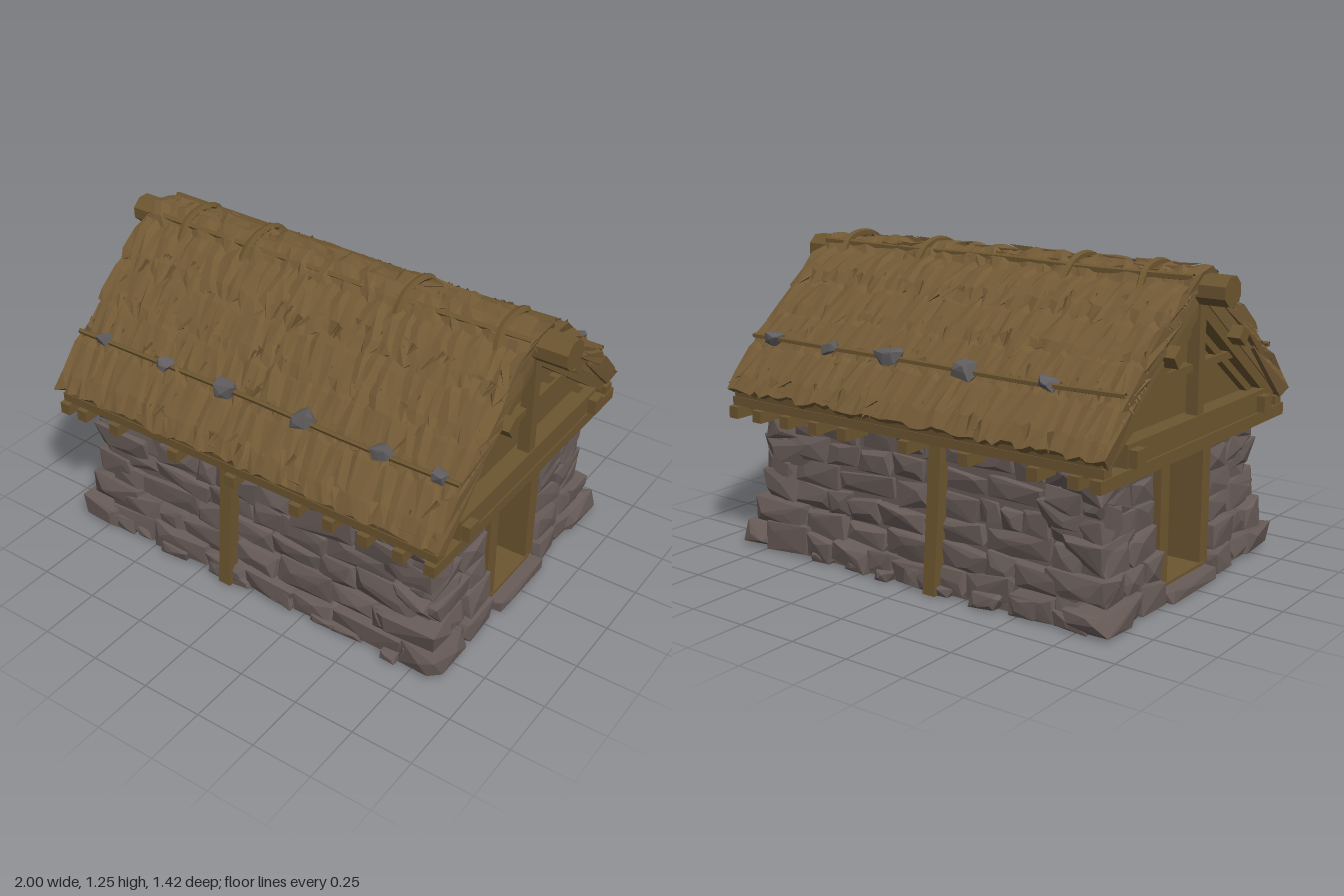
import * as THREE from 'three';
import { mergeGeometries } from 'three/addons/utils/BufferGeometryUtils.js';
import { ConvexGeometry } from 'three/addons/geometries/ConvexGeometry.js';

export function createModel() {
  const group = new THREE.Group();
  const CX = -0.01; // middle of the building along its length
  const mat = (name, color, side = THREE.FrontSide) => {
    const m = new THREE.MeshStandardMaterial({ color, side });
    m.name = name;
    return m;
  };
  const thatch = mat('thatch', 0x735a36, THREE.DoubleSide);
  const wood = mat('wood', 0x6d5630, THREE.DoubleSide);
  const stone = mat('wall stone', 0x685c58);
  const rock = mat('weight stone', 0x625e5f);

  // Seeded random numbers
  let seed = 7;
  const rnd = (a = 0, b = 1) => {
    seed = (seed * 16807) % 2147483647;
    return a + (b - a) * (seed / 2147483647);
  };
  const add = (name, geo, material) => {
    const mesh = new THREE.Mesh(geo, material);
    mesh.name = name;
    group.add(mesh);
    return mesh;
  };
  const flat = (g) => {
    const n = g.index ? g.toNonIndexed() : g;
    n.deleteAttribute('uv');
    n.computeVertexNormals();
    return n;
  };

  // Hewn timber
  const beam = (name, w, h, d, x, y, z, rx = 0) => {
    const m = add(name, flat(new THREE.BoxGeometry(w, h, d)), wood);
    m.position.set(x, y, z);
    m.rotation.x = rx;
    return m;
  };
  // Timber in a cross plane between two (z, y) points
  const strut = (name, x, a, b, h, w) => beam(name, w, h, Math.hypot(b[0] - a[0], b[1] - a[1]),
    x, (a[1] + b[1]) / 2, (a[0] + b[0]) / 2, -Math.atan2(b[1] - a[1], b[0] - a[0]));

  // Chipped block of stone: a hull around jittered corners and bulging faces
  const block = (w, h, d, x, y, z, chip = 0.2, tilt = 0) => {
    const pts = [];
    for (const i of [-1, 1]) for (const j of [-1, 1]) for (const k of [-1, 1]) {
      pts.push(new THREE.Vector3(
        i * w * (0.5 - rnd(0, chip) * Math.min(1, 0.12 / w)), j * h * (0.5 - rnd(0, chip)), k * d * (0.5 - rnd(0, chip))));
    }
    for (let n = 0; n < 3; n++) {
      pts.push(new THREE.Vector3(rnd(-0.35, 0.35) * w, rnd(-0.3, 0.3) * h, 0.5 * d),
        new THREE.Vector3(rnd(-0.35, 0.35) * w, rnd(-0.3, 0.3) * h, -0.5 * d),
        new THREE.Vector3((n - 1) * 0.5 * w, rnd(-0.3, 0.3) * h, rnd(-0.3, 0.3) * d));
    }
    const g = new ConvexGeometry(pts);
    g.deleteAttribute('uv');
    const lean = rnd(-tilt, tilt);
    if (w > d) g.rotateZ(lean); else g.rotateX(lean);
    g.computeBoundingBox();
    return g.translate(x, Math.max(y, -g.boundingBox.min.y), z);
  };

  // Wall cores behind the stonework and the floor slab
  const coreParts = [];
  const core = (w, h, d, x, y, z) => coreParts.push(flat(new THREE.BoxGeometry(w, h, d).translate(x, y, z)));
  for (const s of [-1, 1]) {
    core(1.58, 0.58, 0.12, CX, 0.29, s * 0.485);
    for (const e of [-1, 1]) core(0.12, 0.58, 0.36, CX + e * 0.73, 0.29, s * 0.365);
  }
  core(1.68, 0.03, 1.18, CX, 0.015, 0);
  add('wallCore', mergeGeometries(coreParts), stone);

  // Stone courses, battered outwards at the foot
  const stones = [];
  const courses = 6, ch = 0.1;
  const flare = (y) => 0.085 * Math.max(0, 1 - y / 0.3);
  for (let r = 0; r < courses; r++) {
    const y = (r + 0.5) * ch - 0.005, out = flare(y);
    for (const s of [-1, 1]) {
      // long walls
      for (let x = CX - 0.74; x < CX + 0.7;) {
        const w = Math.min(rnd(0.1, 0.32), CX + 0.76 - x), h = ch * rnd(0.95, 1.4);
        stones.push(block(w + 0.015, h, 0.13, x + w / 2, y, s * (0.5 + out * 0.7 + rnd(-0.006, 0.015)), 0.2, 0.1));
        x += w;
      }
      // end walls beside the doorway
      for (const e of [-1, 1]) {
        for (let z = 0.185; z < 0.48;) {
          let w = rnd(0.1, 0.24);
          if (z + w > 0.46) w = 0.56 - z;
          stones.push(block(0.13, ch * rnd(1.0, 1.35), w + 0.01, CX + e * (0.745 + out * 0.7 + rnd(0, 0.015)), y, s * (z + w / 2), 0.18, 0.08));
          z += w;
        }
      }
    }
  }
  add('stoneCourses', mergeGeometries(stones), stone);

  // Big corner stones and rubble along the foot
  const corners = [], rubble = [];
  for (const e of [-1, 1]) for (const s of [-1, 1]) {
    [0.1, 0.11, 0.13, 0.12, 0.12].reduce((y, h, i) => {
      const out = flare(y + h / 2), long = i % 2;
      const w = long ? 0.28 : 0.2, d = long ? 0.18 : 0.25;
      corners.push(block(w, h * 1.15, d, CX + e * (0.82 + out * 0.9 - w / 2), y + h / 2, s * (0.58 + out * 0.9 - d / 2), 0.24));
      return y + h;
    }, 0);
  }
  for (const s of [-1, 1]) {
    for (let i = 0; i < 9; i++) {
      rubble.push(block(rnd(0.07, 0.16), rnd(0.04, 0.09), 0.1, -0.7 + i * 0.17 + rnd(-0.04, 0.04), 0, s * rnd(0.57, 0.6)));
    }
    rubble.push(block(0.16, 0.05, 0.36, CX + s * 0.81, 0, 0, 0.08)); // doorstep
  }
  add('cornerStones', mergeGeometries(corners), stone);
  add('footRubble', mergeGeometries(rubble), stone);

  // Door frames and gables at both ends
  for (const e of [-1, 1]) {
    const X = (x) => CX + e * x;
    for (const s of [-1, 1]) {
      beam('doorJamb', 0.17, 0.53, 0.06, X(0.74), 0.295, s * 0.155);
      strut('gableRafter', X(0.835), [s * 0.62, 0.64], [0, 1.1], 0.06, 0.06);
      strut('gableBrace', X(0.825), [s * 0.5, 0.66], [s * 0.02, 1.0], 0.03, 0.03);
    }
    beam('doorLintel', 0.18, 0.04, 0.38, X(0.75), 0.568, 0);
    beam('doorSill', 0.2, 0.03, 0.3, X(0.73), 0.045, 0);
    beam('tieBeam', 0.07, 0.085, 1.03, X(0.845), 0.642, 0);
    beam('kingPost', 0.05, 0.42, 0.045, X(0.85), 0.89, 0);
    beam('collarBeam', 0.04, 0.03, 0.58, X(0.83), 0.86, 0);
    const tri = new THREE.Shape([[-0.65, 0.585], [0.65, 0.585], [0.65, 0.66], [0, 1.15], [-0.65, 0.66]]
      .map((p) => new THREE.Vector2(...p)));
    const panel = new THREE.ExtrudeGeometry(tri, { depth: 0.03, bevelEnabled: false });
    add('gablePanel', panel.rotateY(Math.PI / 2).translate(X(0.79) - 0.015, 0, 0), wood);
  }

  // Cross joists whose tails show below the eaves
  for (const x of [-0.86, -0.77, -0.6, -0.3, -0.02, 0.28, 0.43, 0.58, 0.73, 0.86]) {
    beam('joist', 0.045, 0.048, 1.37, x + CX, 0.572, 0);
  }
  // Ridge pole, purlins, wall plates, eave beams and wall posts
  const ridge = flat(new THREE.CylinderGeometry(0.064, 0.066, 2, 8).rotateY(Math.PI / 8).rotateZ(Math.PI / 2).scale(1, 0.92, 1));
  add('ridgePole', ridge, wood).position.y = 1.152;
  for (const s of [-1, 1]) {
    beam('purlin', 1.84, 0.055, 0.06, CX, 0.945, s * 0.245, s * 0.64);
    beam('wallPlate', 1.83, 0.065, 0.06, CX, 0.635, s * 0.48);
    beam('eaveBeam', 1.76, 0.035, 0.05, CX, 0.615, s * 0.64);
    strut('wallPost', -0.115, [s * 0.622, 0.002], [s * 0.572, 0.59], 0.05, 0.055);
  }

  // Roof underlay
  const under = new THREE.Shape([[-0.66, 0.63], [0, 1.12], [0.66, 0.63], [0.67, 0.69], [0, 1.2], [-0.67, 0.69]]
    .map((p) => new THREE.Vector2(...p)));
  const underGeo = new THREE.ExtrudeGeometry(under, { depth: 1.74, bevelEnabled: false });
  add('roofUnderlay', underGeo.rotateY(Math.PI / 2).translate(CX - 0.87, 0, 0), thatch);

  // Sheet of thatch: a ragged closed strip along x with a (z, y) cross-section
  const strip = (section, ragged, lump, n = 56) => {
    const pos = [], idx = [], m = section.length;
    for (let i = 0; i <= n; i++) {
      const x = CX + (i / n - 0.5) * 1.77, sweep = rnd(-1, 1);
      section.forEach(([z, y], j) => {
        const slide = (sweep + rnd(-0.4, 0.4)) * ragged[j];
        const ends = i === 0 || i === n ? rnd(-0.015, 0.015) : rnd(-0.01, 0.01);
        pos.push(x + ends, y - slide * 0.7 + rnd(-lump, lump), z + Math.sign(z) * slide);
        if (i < n) {
          const a = i * m + j, b = i * m + (j + 1) % m;
          idx.push(a, b, b + m, a, b + m, a + m);
        }
      });
    }
    for (let j = 1; j < m - 1; j++) idx.push(0, j + 1, j, n * m, n * m + j, n * m + j + 1);
    const g = new THREE.BufferGeometry();
    g.setAttribute('position', new THREE.Float32BufferAttribute(pos, 3));
    g.setIndex(idx);
    return flat(g);
  };
  // Tuft of straw pointing along a direction
  const up = new THREE.Vector3(0, 1, 0);
  const tuft = (x, y, z, dir, len, r) => {
    const g = new THREE.ConeGeometry(r, len, 3, 1, true).translate(0, len / 2, 0);
    g.applyQuaternion(new THREE.Quaternion().setFromUnitVectors(up, dir.normalize()));
    return flat(g.translate(x, y, z));
  };

  // Four overlapping layers of thatch on each slope
  const layers = [
    [[0.40, 0.90], [0.69, 0.69]],
    [[0.29, 1.00], [0.55, 0.825]],
    [[0.16, 1.11], [0.43, 0.937]],
    [[0.03, 1.205], [0.29, 1.062]],
  ];
  const tufts = [];
  for (const s of [-1, 1]) {
    layers.forEach(([a, b], i) => {
      const mid = [(a[0] + b[0]) / 2 + 0.012, (a[1] + b[1]) / 2 + 0.022];
      const drop = i ? 0.025 : 0.06;
      const section = [[a[0], a[1] - 0.04], a, mid, [b[0] - 0.04, b[1] + 0.035], [b[0], b[1] - drop * 0.4], [b[0] - 0.05, b[1] - drop]];
      const rag = i ? 0.028 : 0.008;
      add('thatchLayer', strip(section.map(([z, y]) => [s * z, y]), [0, 0.005, 0.006, 0.01, rag, rag * 0.5], 0.008), thatch);
      // fringe along the lower edge, loose straw over the face, and ragged verges
      for (let k = 0; k < 50; k++) {
        const back = rnd(0.04, 0.1);
        tufts.push(tuft(CX + rnd(-0.87, 0.87), b[1] + back * 0.64, s * (b[0] - back),
          new THREE.Vector3(rnd(-0.4, 0.4), rnd(-0.85, -0.7), s * (i ? rnd(0.65, 0.8) : 0.6)),
          i ? rnd(0.07, 0.11) : rnd(0.06, 0.09), rnd(0.014, 0.03)));
      }
      for (let k = 0; k < 22; k++) {
        const t = rnd(0.2, 0.9);
        tufts.push(tuft(CX + rnd(-0.86, 0.86), a[1] + (b[1] - a[1]) * t + 0.012, s * (a[0] + (b[0] - a[0]) * t),
          new THREE.Vector3(rnd(-0.6, 0.6), -0.6, s * 0.8), rnd(0.05, 0.09), rnd(0.012, 0.026)));
      }
      for (let k = 0; k < 14; k++) {
        const t = rnd(0, 0.9), e = k % 2 ? 1 : -1;
        tufts.push(tuft(CX + e * 0.855, a[1] + (b[1] - a[1]) * t - 0.015, s * (a[0] + (b[0] - a[0]) * t),
          new THREE.Vector3(e * 0.8, -0.45, s * 0.5), rnd(0.04, 0.065), 0.018));
      }
    });
  }
  // Ridge cap of bundled straw
  add('ridgeCap', strip([[-0.14, 1.145], [-0.1, 1.195], [-0.04, 1.225], [0.04, 1.225], [0.1, 1.195], [0.14, 1.145]],
    [0.018, 0.008, 0.006, 0.006, 0.008, 0.018], 0.011, 44), thatch);
  for (let k = 0; k < 70; k++) {
    const e = k % 2 ? 1 : -1, z = rnd(-0.085, 0.085);
    tufts.push(tuft(CX + e * rnd(-0.8, 0.74), 1.228 - Math.abs(z) * 0.4, z,
      new THREE.Vector3(e, rnd(-0.1, 0.2), rnd(-0.25, 0.25)), rnd(0.06, 0.15), rnd(0.012, 0.022)));
  }
  add('strawTufts', mergeGeometries(tufts), thatch);

  // Bent poles holding the thatch down
  const pole = (name, pts, r) => add(name, flat(new THREE.TubeGeometry(
    new THREE.CatmullRomCurve3(pts.map((p) => new THREE.Vector3(...p))), 14, r, 5)), wood);
  for (const s of [-1, 1]) {
    const run = (y, z) => [-0.88, -0.45, 0, 0.45, 0.88].map((x) => [x + CX, y + rnd(-0.008, 0.008), s * (z + rnd(-0.006, 0.006))]);
    pole('ridgeRod', run(1.195, 0.085), 0.015);
    pole('thatchRod', run(0.858, 0.533), 0.011);
  }
  for (const x of [-0.69, -0.37, 0.34, 0.75]) {
    const lean = rnd(-0.02, 0.02);
    pole('ridgeStrap', [[x - lean, 1.14, -0.15], [x, 1.212, -0.085], [x, 1.232, 0], [x, 1.212, 0.085], [x + lean, 1.14, 0.15]], 0.017);
  }

  // Weight stones resting on the lower rods
  const weights = { 1: [[-0.76, 0.03], [-0.45, 0.032], [-0.15, 0.045], [0.2, 0.046], [0.55, 0.038], [0.79, 0.03]],
    '-1': [[-0.57, 0.038], [-0.21, 0.045], [0.15, 0.05], [0.45, 0.035], [0.76, 0.037]] };
  for (const s of [1, -1]) for (const [x, r] of weights[s]) {
    add('weightStone', block(r * 2, r * 1.7, r * 1.8, x, 0.862, s * 0.535, 0.28, 0.4), rock);
  }
  return group;
}
